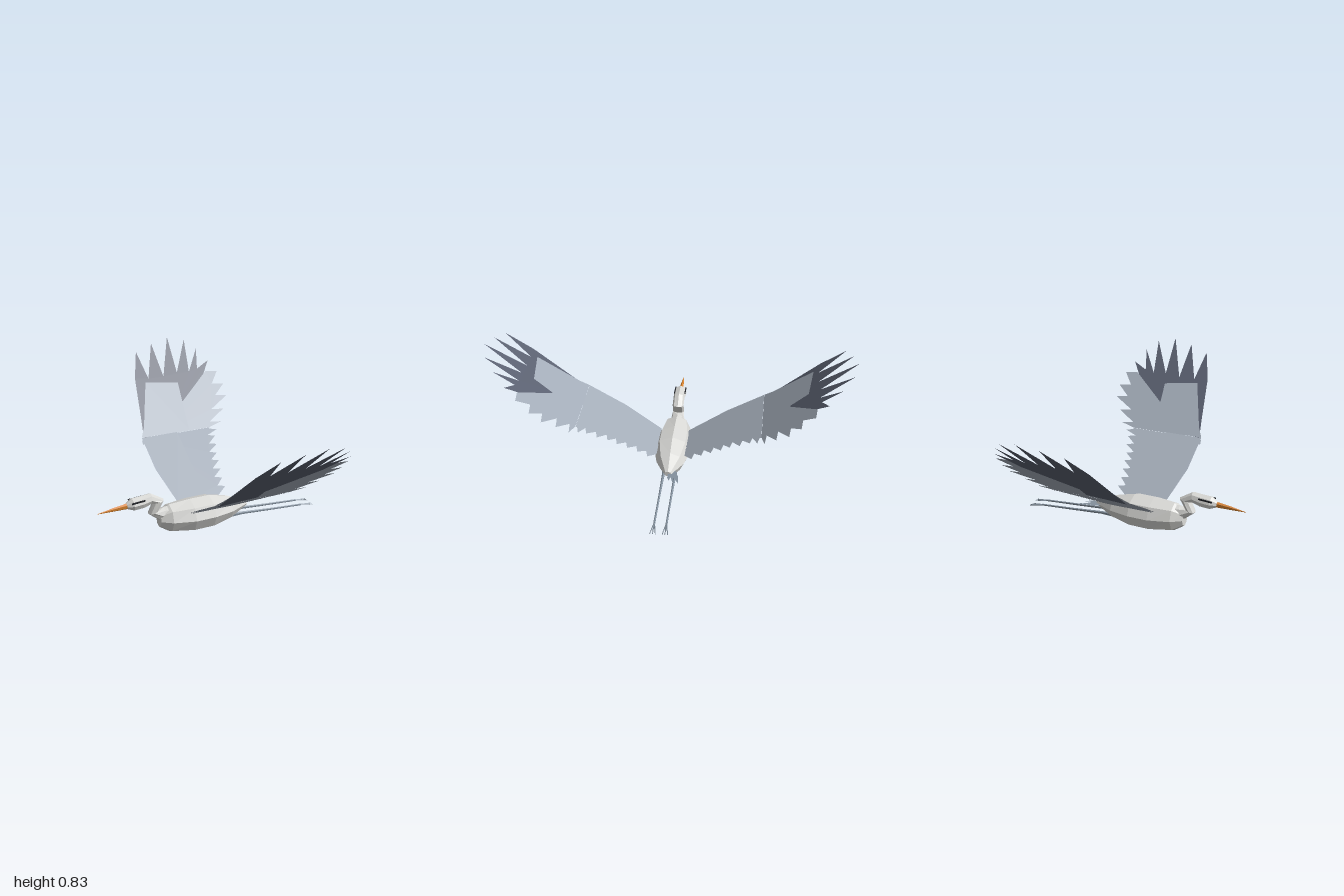
import * as THREE from 'three';

const mat = (name, color, extra = {}) => {
  const m = new THREE.MeshStandardMaterial({ color, flatShading: true, ...extra });
  m.name = name;
  return m;
};

// Closed tube along x/y stations [x, y, vertical radius, side radius]
function loft(stations, sides) {
  const pos = [], idx = [], n = stations.length;
  stations.forEach(([x, y, ry, rz], i) => {
    const a = stations[Math.max(i - 1, 0)], b = stations[Math.min(i + 1, n - 1)];
    const len = Math.hypot(b[0] - a[0], b[1] - a[1]);
    const tx = (b[0] - a[0]) / len, ty = (b[1] - a[1]) / len;
    for (let k = 0; k < sides; k++) {
      const t = (k / sides) * Math.PI * 2, u = Math.cos(t) * ry;
      pos.push(x - ty * u, y + tx * u, Math.sin(t) * rz);
    }
  });
  for (let i = 0; i < n - 1; i++) for (let k = 0; k < sides; k++) {
    const a = i * sides + k, b = i * sides + (k + 1) % sides;
    idx.push(a, b, a + sides, b, b + sides, a + sides);
  }
  for (let k = 1; k < sides - 1; k++) {
    const e = (n - 1) * sides;
    idx.push(0, k + 1, k, e, e + k, e + k + 1);
  }
  const g = new THREE.BufferGeometry();
  g.setAttribute('position', new THREE.Float32BufferAttribute(pos, 3));
  g.setIndex(idx);
  g.computeVertexNormals();
  return g;
}

// Wing height over the span, with a bend at the wrist
const wingHeight = z => z < 0.51 ? 0.14 + (z - 0.08) * 0.57 : 0.385 + (z - 0.51) * 0.93;

// Flat [x, z] outline laid onto the wing surface
function sheet(points, lift, side) {
  const g = new THREE.ShapeGeometry(new THREE.Shape(points.map(p => new THREE.Vector2(...p))));
  const p = g.attributes.position;
  for (let i = 0; i < p.count; i++) {
    const z = p.getY(i);
    p.setXYZ(i, p.getX(i), wingHeight(z) + lift, z * side);
  }
  g.computeVertexNormals();
  return g;
}

export function createModel() {
  const model = new THREE.Group();
  const white = mat('plumage white', 0xd9d9d6);
  const pale = mat('wing grey', 0xa3acb8, { side: THREE.DoubleSide });
  const dark = mat('flight feather slate', 0x5a6070, { side: THREE.DoubleSide });
  const orange = mat('beak orange', 0xd9842f);
  const slate = mat('leg grey', 0x84919e);
  const black = mat('eye stripe black', 0x24262b);
  const add = (name, geo, material, parent = model) => {
    const m = new THREE.Mesh(geo, material);
    m.name = name;
    parent.add(m);
    return m;
  };

  // Body, folded neck with head, beak
  add('body', loft([
    [-0.31, 0.103, 0.045, 0.04], [-0.25, 0.102, 0.083, 0.08], [-0.12, 0.098, 0.096, 0.105],
    [0, 0.1, 0.095, 0.105], [0.12, 0.1, 0.065, 0.078], [0.235, 0.102, 0.015, 0.02]], 8), white);
  add('neckAndHead', loft([
    [-0.24, 0.13, 0.05, 0.045], [-0.29, 0.135, 0.042, 0.04], [-0.345, 0.16, 0.03, 0.033],
    [-0.312, 0.222, 0.033, 0.033], [-0.36, 0.243, 0.032, 0.033], [-0.41, 0.233, 0.037, 0.036],
    [-0.465, 0.229, 0.037, 0.037], [-0.5, 0.225, 0.018, 0.018]], 8), white);
  add('beak', loft([
    [-0.495, 0.225, 0.018, 0.013], [-0.58, 0.219, 0.011, 0.008], [-0.67, 0.211, 0.001, 0.001]], 6), orange);

  for (const side of [1, -1]) {
    const name = side > 0 ? 'left' : 'right';

    // Eye stripe
    const stripe = add(name + 'EyeStripe', new THREE.BoxGeometry(0.08, 0.008, 0.006), black);
    stripe.position.set(-0.44, 0.249, side * 0.031);
    stripe.rotation.z = 0.08;

    // Wing: inner and outer flight feathers under covert panels
    const wing = new THREE.Group();
    wing.name = name + 'Wing';
    model.add(wing);

    const inner = [[-0.15, 0.08], [0.1, 0.08]];
    [[0.165, 0.125], [0.17, 0.18], [0.185, 0.235], [0.2, 0.29], [0.21, 0.34], [0.235, 0.395],
      [0.25, 0.45], [0.28, 0.49]].forEach(([x, z]) =>
      inner.push([x, z], [x - 0.045, z + 0.012]));
    inner.push([0.24, 0.51], [-0.19, 0.51], [-0.2, 0.3]);
    add('secondaryFeathers', sheet(inner, 0, side), pale, wing);

    const outer = [[-0.1, 0.511], [0.24, 0.511]];
    [[0.33, 0.53], [0.37, 0.59], [0.425, 0.655], [0.43, 0.715], [0.418, 0.785]].forEach(([x, z]) =>
      outer.push([x, z], [x - 0.075, z + 0.008]));
    outer.push([0.13, 0.66], [0.02, 0.62]);
    add('outerSecondaryFeathers', sheet(outer, 0, side), pale, wing);

    add('primaryFeathers', sheet([
      [-0.19, 0.515], [0.03, 0.54], [0.04, 0.6], [0.29, 0.745],
      [0.385, 0.85], [0.295, 0.815], [0.335, 0.92], [0.235, 0.805], [0.275, 0.975],
      [0.155, 0.81], [0.17, 1.0], [0.06, 0.8], [0.052, 0.978], [-0.04, 0.8],
      [-0.063, 0.945], [-0.125, 0.81], [-0.17, 0.6]], -0.005, side), dark, wing);

    add('armCoverts', sheet([
      [-0.16, 0.08], [0.02, 0.08], [0.025, 0.51], [-0.205, 0.51], [-0.205, 0.3]], 0.006, side), pale, wing);
    add('handCoverts', sheet([
      [-0.205, 0.511], [0.105, 0.511], [0.135, 0.75], [-0.07, 0.775], [-0.17, 0.56]], 0.006, side), pale, wing);
    add('wristUnderside', sheet([
      [-0.21, 0.48], [-0.08, 0.485], [-0.08, 0.509], [-0.205, 0.509]], -0.009, side), pale, wing);

    // Tail fan halves
    const tail = new THREE.Shape([[0.19, 0], [0.27, 0], [0.3, 0.012], [0.265, 0.018], [0.315, 0.035],
      [0.265, 0.035], [0.32, 0.066], [0.25, 0.058], [0.19, 0.035]].map(p => new THREE.Vector2(...p)));
    add(name + 'TailFeathers', new THREE.ShapeGeometry(tail).rotateX(side * Math.PI / 2), slate).position.y = 0.103;

    // Trailing leg and toes
    const leg = new THREE.Group();
    leg.name = name + 'Leg';
    leg.position.z = side * 0.033;
    model.add(leg);
    add('shank', loft([[0.1, 0.055, 0.014, 0.012], [0.2, 0.054, 0.009, 0.008],
      [0.38, 0.041, 0.007, 0.006], [0.59, 0.028, 0.006, 0.006]], 6), slate, leg);
    for (const spread of [-1, 0, 1]) {
      const toe = add('toe', loft([[0, 0, 0.004, 0.004], [0.083, -0.012, 0.002, 0.002]], 4), slate, leg);
      toe.position.set(0.585, 0.028, 0);
      toe.rotation.y = spread * 0.18;
    }
  }
  return model;
}
